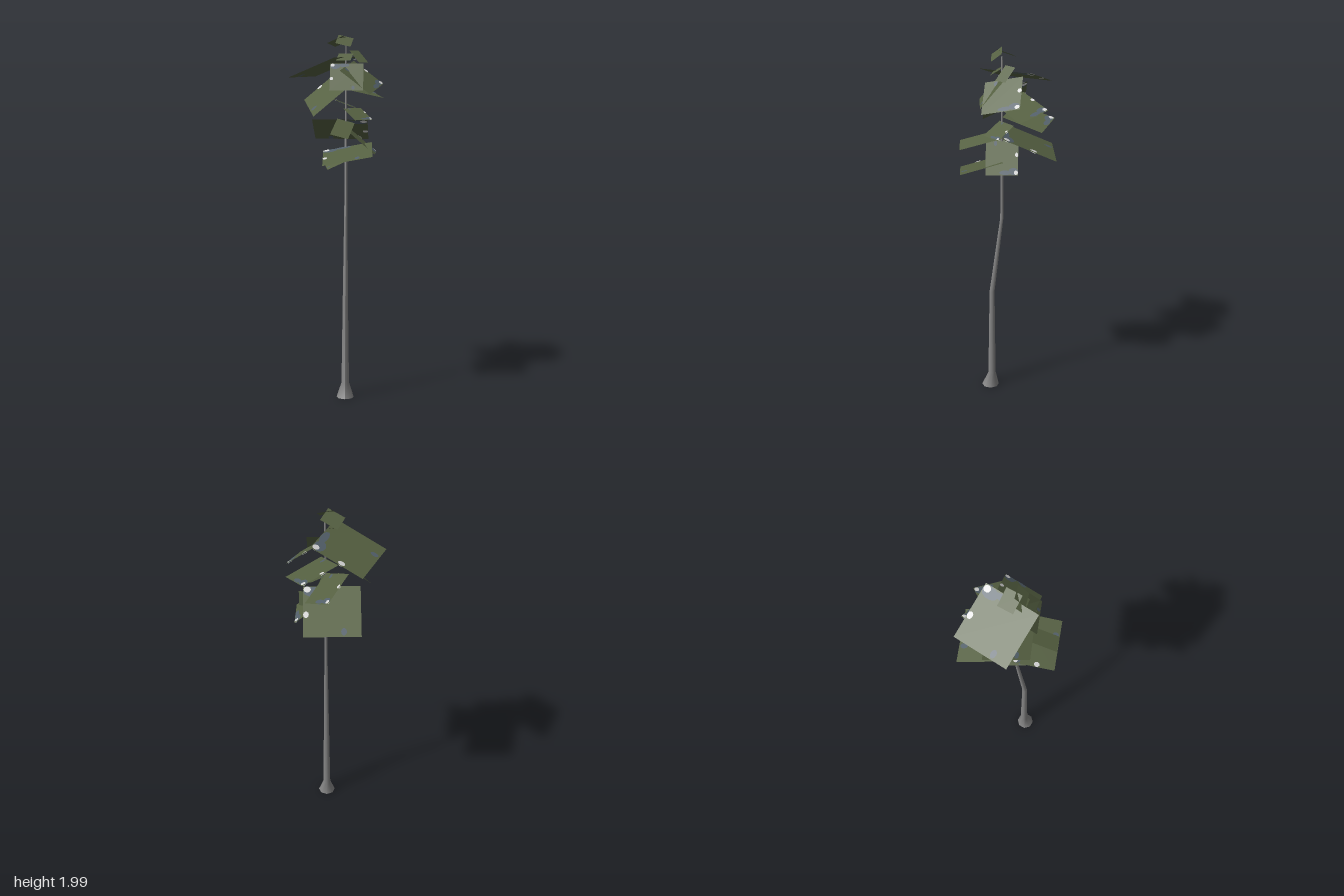
import * as THREE from 'three';

const mat = (name, color, side = THREE.FrontSide) => {
  const m = new THREE.MeshStandardMaterial({ color, side });
  m.name = name;
  return m;
};
const bark = mat('bark grey', 0x858585);
const leaf = mat('leaf green', 0x566142, THREE.DoubleSide);
const slate = mat('slate blue', 0x53606a, THREE.DoubleSide);
const pale = mat('pale grey', 0xd6d6d6, THREE.DoubleSide);

const TRUNK_X = 0.055;
const CROWN_Z = 0.02;

// Trunk rings: height, radius, z of the centre
const rings = [
  [0, 0.048, 0.09], [0.08, 0.021, 0.081], [0.6, 0.014, 0.078],
  [1.05, 0.009, 0.022], [1.95, 0.004, CROWN_Z],
];

function makeTrunk() {
  const geo = new THREE.CylinderGeometry(1, 1, 1, 8, rings.length - 1);
  const pos = geo.attributes.position;
  for (let i = 0; i < pos.count; i++) {
    const row = Math.round((pos.getY(i) + 0.5) * (rings.length - 1));
    const [y, r, z] = rings[row];
    pos.setXYZ(i, TRUNK_X + pos.getX(i) * r, y, z + pos.getZ(i) * r);
  }
  geo.computeVertexNormals();
  const trunk = new THREE.Mesh(geo, bark);
  trunk.name = 'trunk';
  return trunk;
}

// A flat bough growing out of the trunk; angles in degrees, heading 0 faces the front.
// Its patches gather at the root, or at the tip when patchedTip is set.
function makeBough(y, heading, droop, roll, width, length, shift = 0, patchedTip = false) {
  const bough = new THREE.Group();
  bough.name = 'bough';
  bough.position.set(TRUNK_X, y, CROWN_Z);
  const [rx, ry, rz] = [droop, heading, roll].map(THREE.MathUtils.degToRad);
  bough.rotation.set(rx, ry, rz, 'YXZ');

  const add = (name, geo, material, x, lift, z) => {
    const mesh = new THREE.Mesh(geo.rotateX(-Math.PI / 2), material);
    mesh.name = name;
    mesh.position.set(x + shift, lift, z);
    bough.add(mesh);
  };
  add('leafCard', new THREE.PlaneGeometry(width, length), leaf, 0, 0, length / 2);

  // Round patch at a fraction across and along the card, shown on both faces
  const turn = patchedTip ? -1 : 1;
  const addPatch = (name, material, across, along, w, l, lift) => {
    for (const face of [1, -1]) {
      const geo = new THREE.CircleGeometry(0.5, 10).scale(w * width, l * length, 1);
      add(name, geo, material, turn * (0.5 - across) * width, face * lift,
        (0.5 + turn * (along - 0.5)) * length);
    }
  };
  if (width > 0.11) {
    addPatch('slatePatch', slate, 0.85, 0.11, 0.3, 0.2, 0.002);
    addPatch('slatePatch', slate, 0.6, 0.07, 0.36, 0.13, 0.0025);
    addPatch('slateSpot', slate, 0.3, 0.9, 0.1, 0.15, 0.002);
    addPatch('paleCorner', pale, 0.93, 0.07, 0.13, 0.12, 0.0035);
    addPatch('paleEdge', pale, 0.95, 0.57, 0.1, 0.13, 0.0035);
  }
  return bough;
}

export function createModel() {
  const tree = new THREE.Group();
  tree.name = 'tree';
  const foliage = new THREE.Group();
  foliage.name = 'foliage';
  foliage.add(
    // lowest tier
    makeBough(1.329, -83, 24, -10, 0.117, 0.12),
    makeBough(1.391, 2, 15, 11, 0.27, 0.234, 0.008),
    makeBough(1.497, 87, 41, 0, 0.172, 0.214, 0, true),
    makeBough(1.538, 180, 24, 0, 0.302, 0.309, 0.034),
    makeBough(1.532, -7, 17, -15, 0.098, 0.238),
    // middle tier
    makeBough(1.6, 38, 28, 0, 0.117, 0.125, 0.038, true),
    makeBough(1.62, 151, 13, 18, 0.146, 0.235, 0.079, true),
    makeBough(1.709, 123, 12, 14, 0.18, 0.224, 0.047, true),
    makeBough(1.761, -90, 40, -24, 0.255, 0.26, -0.02),
    makeBough(1.84, 0, 50, 0, 0.18, 0.183, 0.005),
    makeBough(1.827, 81, 37, 17, 0.213, 0.207, 0.011, true),
    makeBough(1.875, -115, 21, 0, 0.307, 0.306, -0.022),
    // crown
    makeBough(1.894, -14, 33, 0, 0.082, 0.066),
    makeBough(1.91, 45, 40, 0, 0.068, 0.1, 0.059),
    makeBough(1.98, -111, 22, 13, 0.095, 0.1, -0.01),
    makeBough(1.985, -15, 38, -17, 0.084, 0.073),
  );
  tree.add(makeTrunk(), foliage);
  return tree;
}
